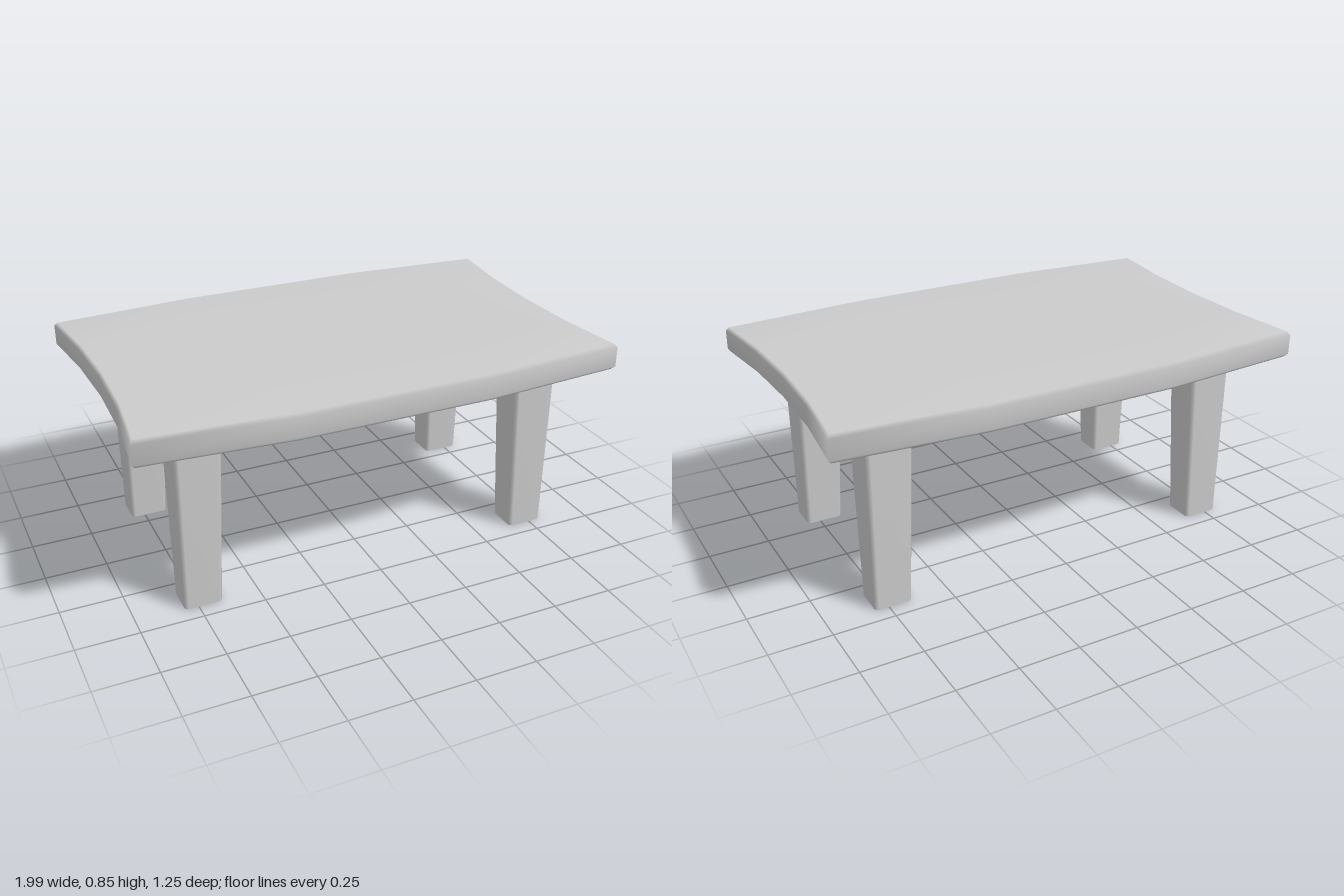
import * as THREE from 'three';
import { mergeVertices } from 'three/addons/utils/BufferGeometryUtils.js';

const material = new THREE.MeshStandardMaterial({ color: 0xcccccc });

// Box whose grid lines sit at the given coordinates, reshaped by a rule, with smooth normals
function gridBox(xs, ys, zs, rule) {
  let geo = new THREE.BoxGeometry(1, 1, 1, xs.length - 1, ys.length - 1, zs.length - 1);
  geo.deleteAttribute('normal');
  geo.deleteAttribute('uv');
  geo = mergeVertices(geo);
  const pos = geo.attributes.position;
  const pick = (list, c) => list[Math.round((c + 0.5) * (list.length - 1))];
  for (let i = 0; i < pos.count; i++) {
    pos.setXYZ(i, ...rule(pick(xs, pos.getX(i)), pick(ys, pos.getY(i)), pick(zs, pos.getZ(i))));
  }
  geo.computeVertexNormals();
  return geo;
}

// Slab with bowed long sides, hollowed ends and chamfered rims
function createTop() {
  const bottom = 0.735, top = 0.845, chamfer = 0.012;
  const geo = gridBox(
    [-1, -0.4, 0, 0.4, 1],
    [bottom, bottom + 0.014, top - 0.014, top],
    [-1, -0.5, 0, 0.5, 1],
    (u, y, v) => {
      const rim = y === bottom || y === top ? chamfer : 0;
      const atEnd = Math.abs(u) === 1;
      const x = atEnd ? u * (0.954 + 0.042 * v * v - rim) : u;
      const side = (atEnd ? 0.58 : 0.626) - (Math.abs(v) === 1 ? rim : 0);
      return [x, y, v * side];
    }
  );
  const mesh = new THREE.Mesh(geo, material);
  mesh.name = 'tableTop';
  return mesh;
}

// Leg narrowing to the foot on its inner faces, with small corner chamfers
function createLeg(sx, sz) {
  const height = 0.75;
  const lines = [-0.5, -0.41, 0.41, 0.5];
  const geo = gridBox(lines, [0, height], lines, (u, y, v) => {
    const t = y / height;
    const lerp = THREE.MathUtils.lerp;
    const outX = lerp(0.805, 0.812, t), inX = lerp(0.653, 0.624, t);
    const outZ = lerp(0.435, 0.441, t), inZ = lerp(0.304, 0.274, t);
    const corner = Math.abs(u) === 0.5 && Math.abs(v) === 0.5 ? 0.92 : 1;
    return [
      sx * (outX + inX) / 2 + u * corner * (outX - inX),
      y,
      sz * (outZ + inZ) / 2 + v * corner * (outZ - inZ),
    ];
  });
  const mesh = new THREE.Mesh(geo, material);
  mesh.name = (sz > 0 ? 'front' : 'back') + (sx > 0 ? 'Left' : 'Right') + 'Leg';
  return mesh;
}

export function createModel() {
  const table = new THREE.Group();
  table.name = 'table';
  table.add(createTop());
  for (const sx of [-1, 1]) for (const sz of [-1, 1]) table.add(createLeg(sx, sz));
  return table;
}
